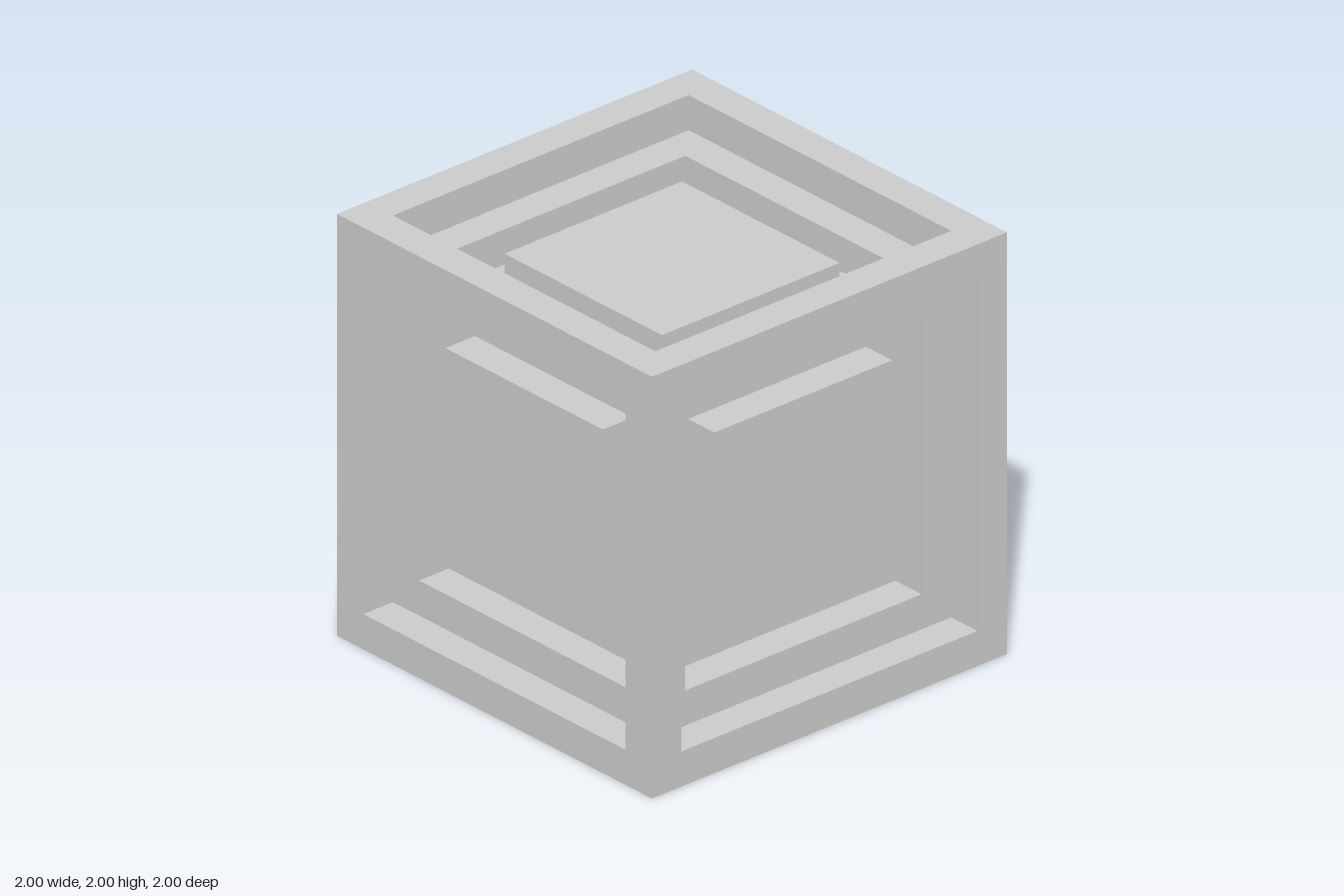
import * as THREE from 'three';

const STEP = 1 / 6; // every ledge is one step wide and one step deep
const material = new THREE.MeshStandardMaterial({ color: 0xcccccc, flatShading: true });

// Square rim on the +y side: flat border from half-width `outer`, then the opening's walls
function rimGeometry(outer) {
  const inner = outer - STEP;
  const profile = [[outer, outer], [inner, outer], [inner, inner]]
    .map(([half, y]) => new THREE.Vector2(half * Math.SQRT2, y));
  const geometry = new THREE.LatheGeometry(profile, 4, Math.PI / 4).toNonIndexed();
  geometry.computeVertexNormals();
  return geometry;
}

export function createModel() {
  const model = new THREE.Group();
  model.name = 'nestedCube';
  const add = (parent, name, geometry) => {
    const mesh = new THREE.Mesh(geometry, material);
    mesh.name = name;
    parent.add(mesh);
    return mesh;
  };

  // Solid core forming the floor of every recess
  const coreSize = 2 * (1 - 2 * STEP);
  add(model, 'core', new THREE.BoxGeometry(coreSize, coreSize, coreSize));

  // Raised centre panel, standing on the core
  const panelGeometry = new THREE.BoxGeometry(1, STEP, 1);
  panelGeometry.translate(0, 1 - 1.5 * STEP, 0);
  const outerGeometry = rimGeometry(1);
  const innerGeometry = rimGeometry(1 - STEP);

  // The same stepped side on all six faces
  const q = Math.PI / 2;
  const sides = {
    top: [0, 0, 0], bottom: [2 * q, 0, 0],
    front: [q, 0, 0], back: [-q, 0, 0],
    left: [0, 0, -q], right: [0, 0, q],
  };
  for (const [name, rotation] of Object.entries(sides)) {
    const side = new THREE.Group();
    side.name = `${name}Side`;
    side.rotation.set(...rotation);
    add(side, 'outerFrame', outerGeometry);
    add(side, 'innerFrame', innerGeometry);
    add(side, 'centrePanel', panelGeometry);
    model.add(side);
  }

  // Stand on the ground
  model.children.forEach((part) => { part.position.y = 1; });
  return model;
}
